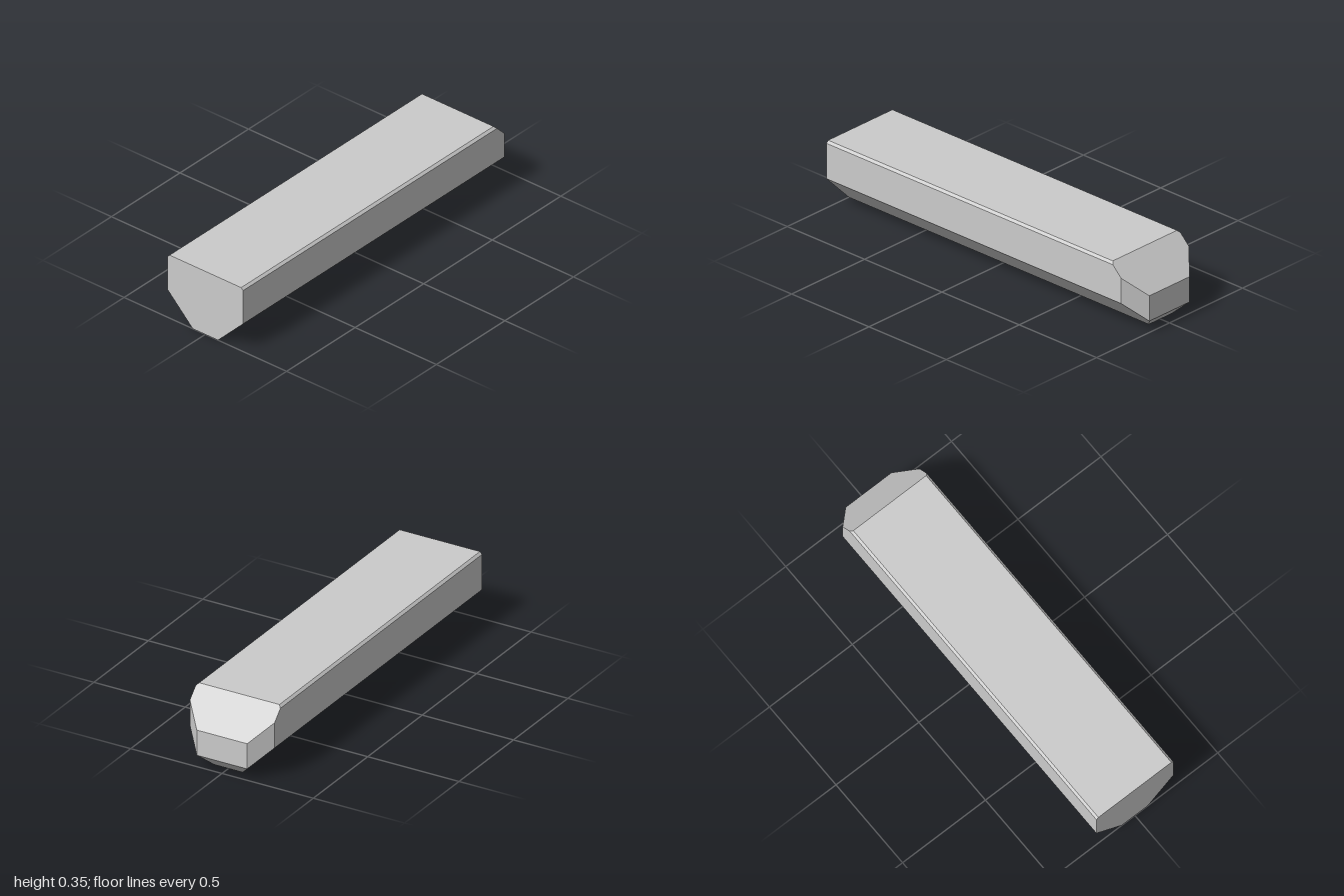
import * as THREE from 'three';
import { ConvexGeometry } from 'three/addons/geometries/ConvexGeometry.js';

export function createModel() {
  const group = new THREE.Group();
  group.name = 'chamferedBar';

  // Half cross-section as [y, z], from the keel up to the top bevel,
  // with the x at which each edge meets the bevelled nose.
  const edges = [
    [0, 0.078, 0.94],
    [0.154, 0.232, 0.906],
    [0.34, 0.232, 0.853],
    [0.352, 0.22, 0.841],
  ];
  // Extra nose corners [x, y, z]: end of the side bevel, then the blunt tip
  const nose = [
    [0.906, 0.287, 0.232],
    [1, 0.06, 0.138],
    [1, 0.193, 0.138],
  ];

  const points = [];
  for (const side of [1, -1]) {
    for (const [y, z, xEnd] of edges) {
      points.push(new THREE.Vector3(-1, y, side * z), new THREE.Vector3(xEnd, y, side * z));
    }
    for (const [x, y, z] of nose) points.push(new THREE.Vector3(x, y, side * z));
  }

  // Solid bar with a flat rear end and a bevelled nose
  const bar = new THREE.Mesh(
    new ConvexGeometry(points),
    new THREE.MeshStandardMaterial({ color: 0xcccccc, flatShading: true })
  );
  bar.name = 'bar';
  group.add(bar);
  return group;
}
